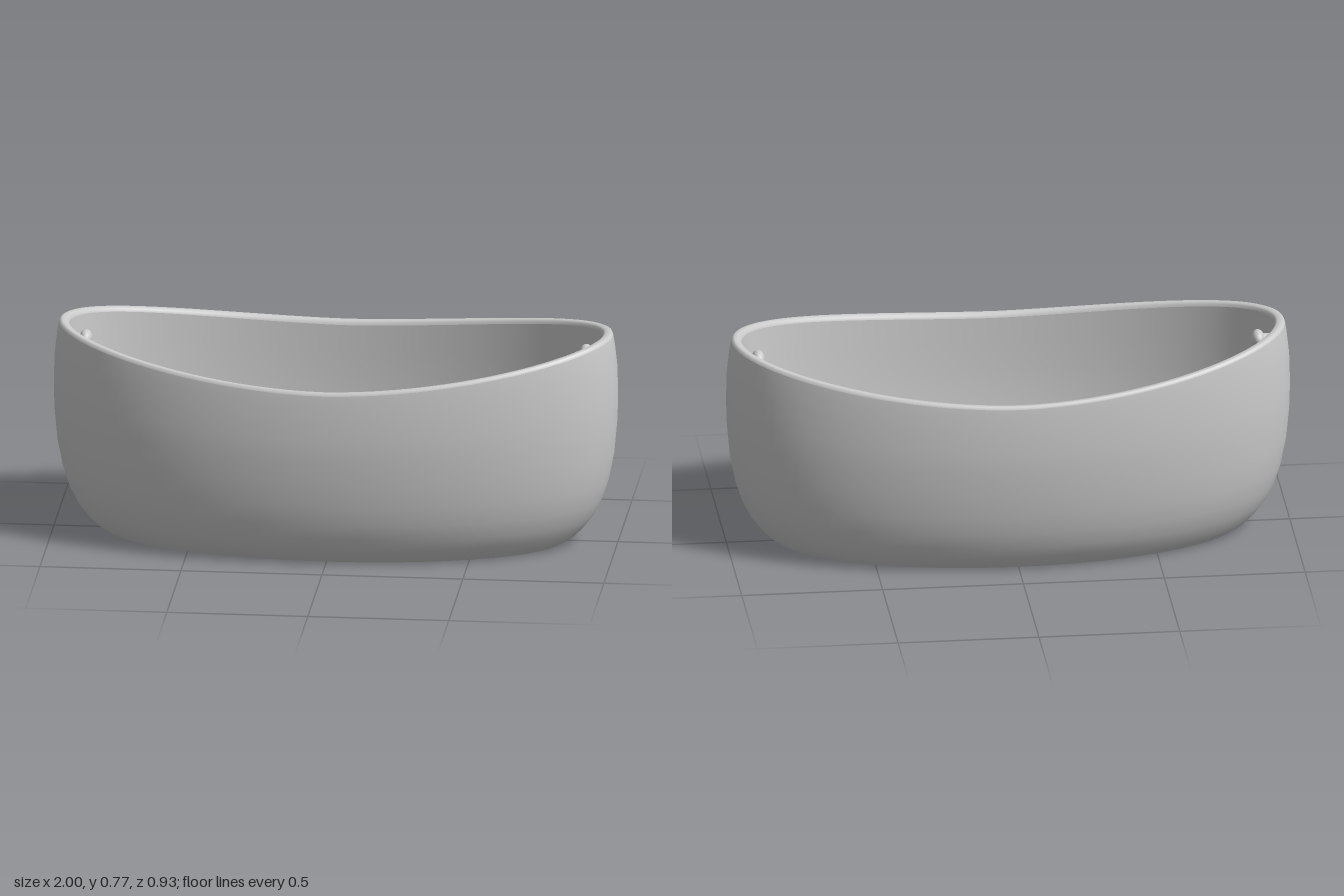
import * as THREE from 'three';

const SEGMENTS = 96;

// Lofts elliptical rings [halfWidth, halfDepth, y, endLift]; endLift raises the two ends.
function loft(name, rings, material) {
  const positions = [], index = [];
  for (const [rx, rz, y, lift] of rings) {
    for (let i = 0; i < SEGMENTS; i++) {
      const a = (i / SEGMENTS) * Math.PI * 2;
      const c = Math.cos(a);
      positions.push(rx * c, y + lift * Math.pow(Math.abs(c), 1.7), rz * Math.sin(a));
    }
  }
  for (let j = 0; j < rings.length - 1; j++) {
    for (let i = 0; i < SEGMENTS; i++) {
      const n = (i + 1) % SEGMENTS;
      const a = j * SEGMENTS + i, b = j * SEGMENTS + n;
      const c = a + SEGMENTS, d = b + SEGMENTS;
      index.push(a, c, b, b, c, d);
    }
  }
  const geometry = new THREE.BufferGeometry();
  geometry.setAttribute('position', new THREE.Float32BufferAttribute(positions, 3));
  geometry.setIndex(index);
  geometry.computeVertexNormals();
  const mesh = new THREE.Mesh(geometry, material);
  mesh.name = name;
  return mesh;
}

export function createModel() {
  const tub = new THREE.Group();
  tub.name = 'bathtub';
  const enamel = new THREE.MeshStandardMaterial({ color: 0xcccccc });
  enamel.name = 'enamel';

  // Outer wall, bulging from the base and drawn in slightly at the top
  tub.add(loft('outerWall', [
    [0.81, 0.34, 0, 0],
    [0.85, 0.366, 0.025, 0],
    [0.88, 0.387, 0.055, 0],
    [0.915, 0.41, 0.1, 0],
    [0.945, 0.429, 0.16, 0],
    [0.968, 0.444, 0.23, 0.002],
    [0.987, 0.456, 0.32, 0.01],
    [0.997, 0.463, 0.41, 0.03],
    [1.0, 0.465, 0.48, 0.055],
    [0.997, 0.462, 0.56, 0.085],
    [0.988, 0.458, 0.62, 0.105],
    [0.982, 0.455, 0.644, 0.115],
  ], enamel));

  // Narrow rounded rim following the dipped edge
  tub.add(loft('rim', [
    [0.982, 0.455, 0.644, 0.115],
    [0.978, 0.452, 0.653, 0.115],
    [0.97, 0.446, 0.656, 0.115],
    [0.955, 0.433, 0.654, 0.115],
    [0.948, 0.427, 0.648, 0.115],
    [0.945, 0.424, 0.638, 0.115],
  ], enamel));

  // Inner wall, sloping down to the floor
  tub.add(loft('innerWall', [
    [0.945, 0.424, 0.638, 0.115],
    [0.942, 0.423, 0.54, 0.08],
    [0.938, 0.421, 0.44, 0.045],
    [0.93, 0.415, 0.34, 0.015],
    [0.915, 0.404, 0.25, 0.002],
    [0.892, 0.388, 0.16, 0],
    [0.86, 0.366, 0.095, 0],
    [0.82, 0.34, 0.05, 0],
  ], enamel));

  tub.add(loft('floor', [[0.82, 0.34, 0.05, 0], [0, 0, 0.05, 0]], enamel));
  tub.add(loft('base', [[0, 0, 0, 0], [0.81, 0.34, 0, 0]], enamel));

  // A small oval knob on a stem inside each end
  const knobGeometry = new THREE.SphereGeometry(1, 20, 14);
  const stemGeometry = new THREE.CylinderGeometry(0.016, 0.016, 0.06, 14);
  for (const side of [-1, 1]) {
    const group = new THREE.Group();
    group.name = side > 0 ? 'leftKnob' : 'rightKnob';
    const knob = new THREE.Mesh(knobGeometry, enamel);
    knob.name = 'knobCap';
    knob.scale.set(0.023, 0.03, 0.039);
    const stem = new THREE.Mesh(stemGeometry, enamel);
    stem.name = 'knobStem';
    stem.rotation.z = Math.PI / 2;
    stem.position.x = side * 0.035;
    group.add(knob, stem);
    group.position.set(side * 0.887, 0.695, 0);
    tub.add(group);
  }
  return tub;
}
